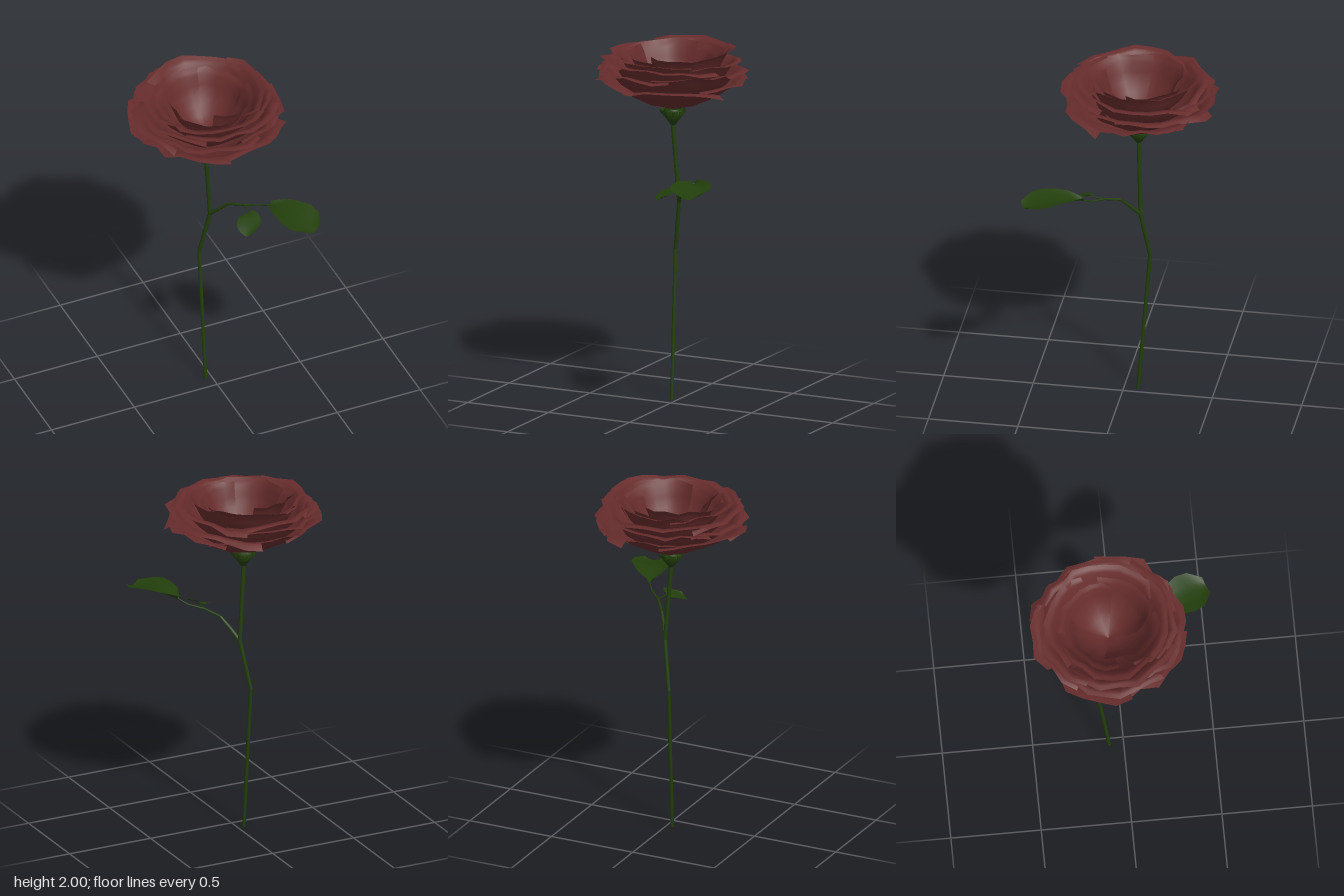
import * as THREE from 'three';

const red = new THREE.MeshStandardMaterial({ color: 0x672c2c, side: THREE.DoubleSide });
red.name = 'petal red';
const green = new THREE.MeshStandardMaterial({ color: 0x233f0c, side: THREE.DoubleSide });
green.name = 'leaf green';

const HEAD = { x: -0.03, z: -0.085 };

// Small seeded generator for the uneven petal edges
let seed = 11;
const rnd = () => (seed = (seed * 16807) % 2147483647) / 2147483647;
const jitter = (a) => (rnd() * 2 - 1) * a;

// Piecewise linear lookup in a list of numbers
function sample(list, t) {
  const f = t * (list.length - 1);
  const i = Math.min(Math.floor(f), list.length - 2);
  return list[i] + (list[i + 1] - list[i]) * (f - i);
}

// Sheet whose points follow the rule f(u, v), u and v from 0 to 1
function sheet(nu, nv, f) {
  const geo = new THREE.PlaneGeometry(1, 1, nu, nv);
  const pos = geo.attributes.position;
  for (let j = 0; j <= nv; j++) {
    for (let i = 0; i <= nu; i++) pos.setXYZ(j * (nu + 1) + i, ...f(i / nu, j / nv, i));
  }
  geo.computeVertexNormals();
  return geo;
}

function mesh(name, geo, mat) {
  const m = new THREE.Mesh(geo, mat);
  m.name = name;
  return m;
}

// Curved petal: a radius/height profile swept over an arc, winding outwards and slightly tilted
function petal(angle, half, rs, ys, droop, spiral, rough) {
  const n = 7;
  const edge = Array.from({ length: n + 1 }, () => [jitter(rough), jitter(rough * 0.4)]);
  const lift = jitter(rough);
  const tilt = jitter(rough * 1.2);
  return sheet(n, 8, (u, v, i) => {
    const s = u * 2 - 1;
    const a = angle + s * half;
    const e = v ** 2;
    const r = sample(rs, v) * (1 - 0.05 * s ** 4 * e) + spiral * s * v + edge[i][0] * e;
    const y = sample(ys, v) + (edge[i][1] + lift + tilt * s - droop * s * s) * e;
    return [HEAD.x + Math.sin(a) * r, Math.min(y, 1.995), HEAD.z + Math.cos(a) * r];
  });
}

// Straight tapered pieces joined end to end
function limb(name, points, r0, r1, sides) {
  const group = new THREE.Group();
  group.name = name;
  const n = points.length - 1;
  const radius = (i) => r0 + (r1 - r0) * i / n;
  for (let i = 0; i < n; i++) {
    const a = new THREE.Vector3(...points[i]);
    const b = new THREE.Vector3(...points[i + 1]);
    const d = b.clone().sub(a);
    const m = mesh(name + 'Piece', new THREE.CylinderGeometry(radius(i + 1), radius(i), d.length(), sides), green);
    m.position.copy(a).add(b).multiplyScalar(0.5);
    m.quaternion.setFromUnitVectors(new THREE.Vector3(0, 1, 0), d.normalize());
    group.add(m);
  }
  return group;
}

// Leaf blade from base to tip in plan, with half widths and heights along its rib
function leaf(name, base, tip, widths, heights, cup, roll) {
  const dx = tip[0] - base[0], dz = tip[1] - base[1];
  const len = Math.hypot(dx, dz);
  return mesh(name, sheet(4, 10, (u, v) => {
    const s = u * 2 - 1;
    const w = sample(widths, v) * s;
    return [
      base[0] + dx * v + dz / len * w,
      sample(heights, v) + cup * s * s + roll * s,
      base[1] + dz * v - dx / len * w,
    ];
  }), green);
}

export function createModel() {
  const model = new THREE.Group();
  model.name = 'rose';

  // Petal rings from the inner bowl to the drooping outside
  const rings = [
    { name: 'innerPetal', n: 4, turn: 0.75, rs: [0.005, 0.1, 0.18, 0.225, 0.255], ys: [1.71, 1.75, 1.84, 1.94, 1.975], droop: 0.01, spiral: 0.03, rough: 0.018 },
    { name: 'bowlPetal', n: 4, turn: 1.4, rs: [0.005, 0.13, 0.24, 0.295, 0.335], ys: [1.69, 1.745, 1.86, 1.96, 1.975], droop: 0.015, spiral: 0.025, rough: 0.02 },
    { name: 'middlePetal', n: 4, turn: 0.2, rs: [0.01, 0.16, 0.285, 0.345, 0.385], ys: [1.67, 1.73, 1.84, 1.93, 1.925], droop: 0.02, spiral: 0.025, rough: 0.024 },
    { name: 'widePetal', n: 5, turn: 0.9, rs: [0.015, 0.17, 0.31, 0.375, 0.415], ys: [1.66, 1.715, 1.81, 1.885, 1.88], droop: 0.02, spiral: 0.02, rough: 0.026 },
    { name: 'outerPetal', n: 5, turn: 0.4, rs: [0.02, 0.16, 0.3, 0.375, 0.42], ys: [1.65, 1.695, 1.77, 1.835, 1.84], droop: 0.035, spiral: 0.02, rough: 0.026 },
  ];
  const flower = new THREE.Group();
  flower.name = 'flower';
  for (const k of rings) {
    for (let i = 0; i < k.n; i++) {
      const angle = k.turn + i / k.n * Math.PI * 2;
      flower.add(mesh(k.name, petal(angle, Math.PI / k.n * 1.22, k.rs, k.ys, k.droop, k.spiral, k.rough), red));
    }
  }
  model.add(flower);

  // Green cup under the flower with small curled sepals
  const cup = mesh('flowerCup', new THREE.LatheGeometry(
    [[0.012, 1.555], [0.035, 1.585], [0.06, 1.62], [0.045, 1.65]].map((p) => new THREE.Vector2(...p)), 10), green);
  cup.position.set(HEAD.x, 0, HEAD.z);
  model.add(cup);
  for (let i = 0; i < 10; i++) {
    const a = i / 10 * Math.PI * 2;
    model.add(mesh('sepal', petal(a, 0.24, [0.055, 0.066, 0.073, 0.07], [1.612, 1.64, 1.648, 1.625], 0, 0, 0), green));
  }

  // Bent main stem
  model.add(limb('stem',
    [[-0.035, 0, -0.08], [-0.045, 0.84, -0.145], [0, 1.12, -0.1], [HEAD.x - 0.002, 1.57, HEAD.z]], 0.01, 0.0125, 8));

  // Side twig and the short stalk of the small leaf
  model.add(limb('twig', [[0, 1.12, -0.1], [0.035, 1.185, -0.045], [0.07, 1.24, 0], [0.13, 1.268, 0.08],
    [0.2, 1.285, 0.14], [0.24, 1.312, 0.19]], 0.011, 0.003, 6));
  model.add(limb('leafStalk', [[0.13, 1.268, 0.08], [0.115, 1.27, 0.16]], 0.005, 0.003, 6));

  // Leaves
  model.add(leaf('largeLeaf', [0.235, 0.18], [0.365, 0.495],
    [0.012, 0.068, 0.093, 0.114, 0.108, 0.05], [1.305, 1.322, 1.329, 1.327, 1.315, 1.3], 0.022, 0.003));
  model.add(leaf('smallLeaf', [0.115, 0.155], [0.07, 0.285],
    [0.025, 0.055, 0.066, 0.066, 0.052, 0.022], [1.273, 1.268, 1.258, 1.247, 1.234, 1.222], 0.004, 0.014));

  return model;
}
